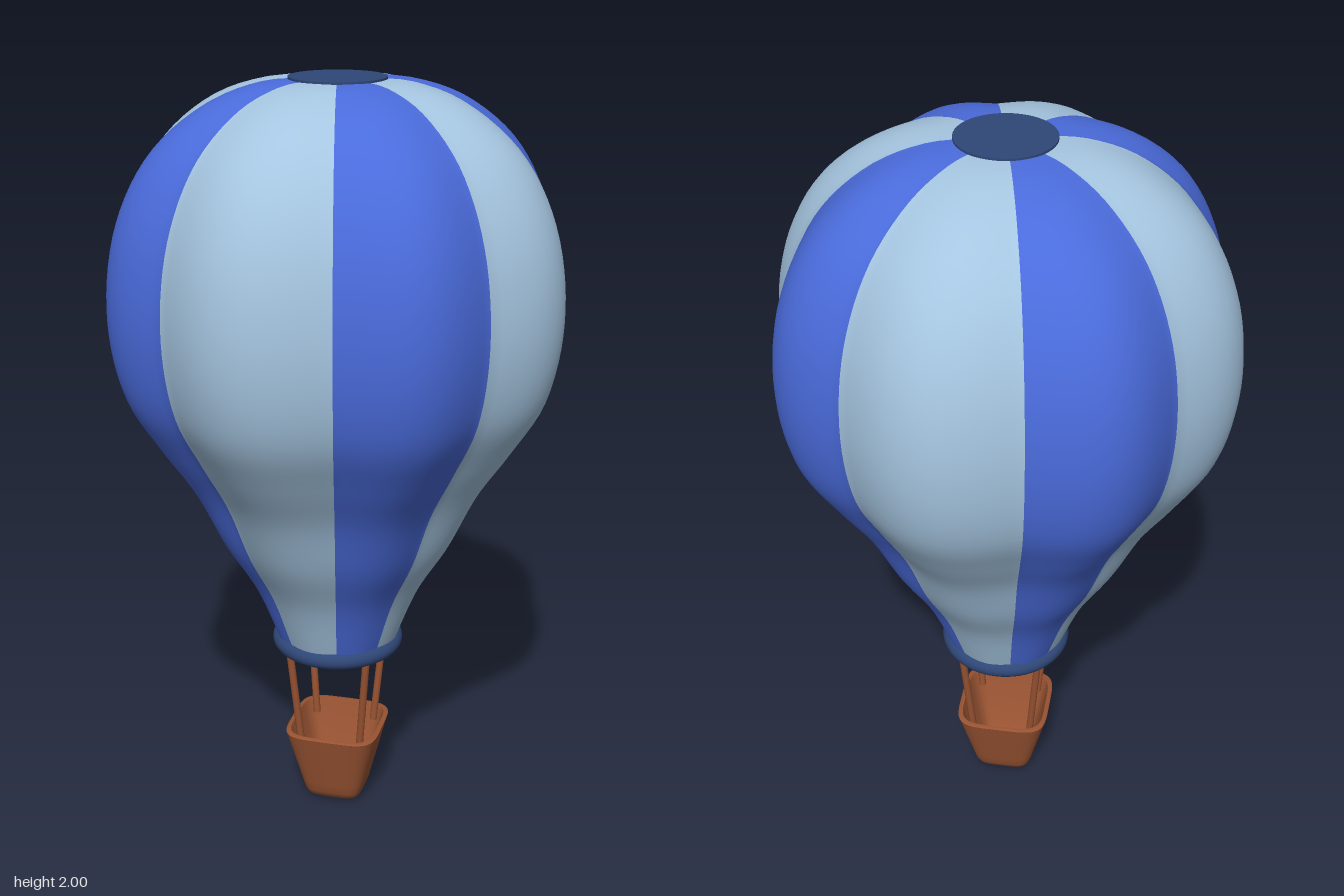
import * as THREE from 'three';
import { toCreasedNormals } from 'three/addons/utils/BufferGeometryUtils.js';

const material = (name, color, side = THREE.FrontSide) => {
  const m = new THREE.MeshStandardMaterial({ color, side });
  m.name = name;
  return m;
};

// Skin a stack of closed rings; columns are ordered so they can be grouped by colour.
function loft(rows, cols, pointAt) {
  const positions = [], index = [];
  for (let i = 0; i < rows; i++)
    for (let j = 0; j < cols; j++) positions.push(...pointAt(i, j));
  for (let j = 0; j < cols; j++)
    for (let i = 0; i < rows - 1; i++) {
      const k = (j + 1) % cols;
      const a = i * cols + j, b = i * cols + k, c = a + cols, d = b + cols;
      index.push(a, c, b, b, c, d);
    }
  const g = new THREE.BufferGeometry();
  g.setAttribute('position', new THREE.Float32BufferAttribute(positions, 3));
  g.setIndex(index);
  g.computeVertexNormals();
  return g;
}

function spline(points, n) {
  const curve = new THREE.CatmullRomCurve3(points.map(([r, y]) => new THREE.Vector3(r, y, 0)), false, 'centripetal');
  return curve.getSpacedPoints(n);
}

// Eight bulging gores, alternately pale and blue
function envelopeGeometry() {
  const profile = spline([
    [0.158, 0.49], [0.228, 0.663], [0.31, 0.80], [0.388, 0.96], [0.472, 1.087],
    [0.557, 1.235], [0.592, 1.44], [0.562, 1.66], [0.472, 1.83], [0.335, 1.94],
    [0.2, 1.987], [0.1, 1.996],
  ], 56);
  const perGore = 14, rows = profile.length, cols = 8 * perGore;
  const pale = THREE.MathUtils.degToRad(48.5), blue = Math.PI / 2 - pale;
  const start = THREE.MathUtils.degToRad(-13.5);
  const g = loft(rows, cols, (i, j) => {
    const gore = Math.floor(j / perGore), t = (j % perGore) / perGore;
    const theta = start + Math.floor(gore / 2) * Math.PI / 2 + (gore % 2 ? pale + t * blue : t * pale);
    const { x: r, y } = profile[i];
    const bulge = Math.sin(Math.PI * t);
    const depth = 0.08 * (0.25 + 0.75 * THREE.MathUtils.smoothstep(y, 0.5, 1.15));
    const radius = r * (1 - depth * (1 - 0.5 * bulge - 0.5 * bulge * bulge));
    return [radius * Math.cos(theta), y, radius * Math.sin(theta)];
  });
  const count = perGore * (rows - 1) * 6;
  for (let k = 0; k < 8; k++) g.addGroup(k * count, count, k % 2);
  return g;
}

// Hollow tapered basket with a rounded square plan
function basketGeometry() {
  const profile = [
    [0, 0], [0.045, 0.002], [0.062, 0.006], [0.075, 0.016], [0.083, 0.032], [0.09, 0.06],
    [0.11, 0.14], [0.128, 0.212], [0.13, 0.22], [0.126, 0.223], [0.118, 0.223], [0.115, 0.215],
    [0.078, 0.06], [0.06, 0.04], [0, 0.04],
  ];
  const cols = 48, power = 2 / 4.6;
  const soft = (v) => Math.sign(v) * Math.pow(Math.abs(v), power);
  const g = loft(profile.length, cols, (i, j) => {
    const a = (j / cols) * Math.PI * 2, [r, y] = profile[i];
    return [r * soft(Math.cos(a)), y, r * soft(Math.sin(a))];
  });
  return toCreasedNormals(g, 0.8);
}

export function createModel() {
  const model = new THREE.Group();
  model.name = 'hotAirBalloon';
  const pale = material('paleBlueFabric', 0xa5c5e0, THREE.DoubleSide);
  const blue = material('royalBlueFabric', 0x4a6bdb, THREE.DoubleSide);
  const navy = material('navyTrim', 0x2f4777);
  const brown = material('brownWicker', 0x985332);

  const add = (name, geometry, mat) => {
    const mesh = new THREE.Mesh(geometry, mat);
    mesh.name = name;
    model.add(mesh);
    return mesh;
  };

  add('envelope', envelopeGeometry(), [pale, blue]);

  // Crown cap and mouth ring
  add('crownCap', new THREE.CylinderGeometry(0.122, 0.122, 0.009, 48), navy).position.y = 1.9955;
  const ring = add('mouthRing', new THREE.TorusGeometry(0.153, 0.025, 16, 64), navy);
  ring.rotation.x = Math.PI / 2;
  ring.position.y = 0.49;

  add('basket', basketGeometry(), brown);

  // Four ropes from the ring to the basket corners
  for (const sx of [-1, 1])
    for (const sz of [-1, 1]) {
      const path = new THREE.LineCurve3(
        new THREE.Vector3(sx * 0.083, 0.19, sz * 0.083),
        new THREE.Vector3(sx * 0.108, 0.49, sz * 0.108));
      const name = (sz > 0 ? 'front' : 'back') + (sx > 0 ? 'Left' : 'Right') + 'Rope';
      add(name, new THREE.TubeGeometry(path, 1, 0.01, 10), brown);
    }
  return model;
}
